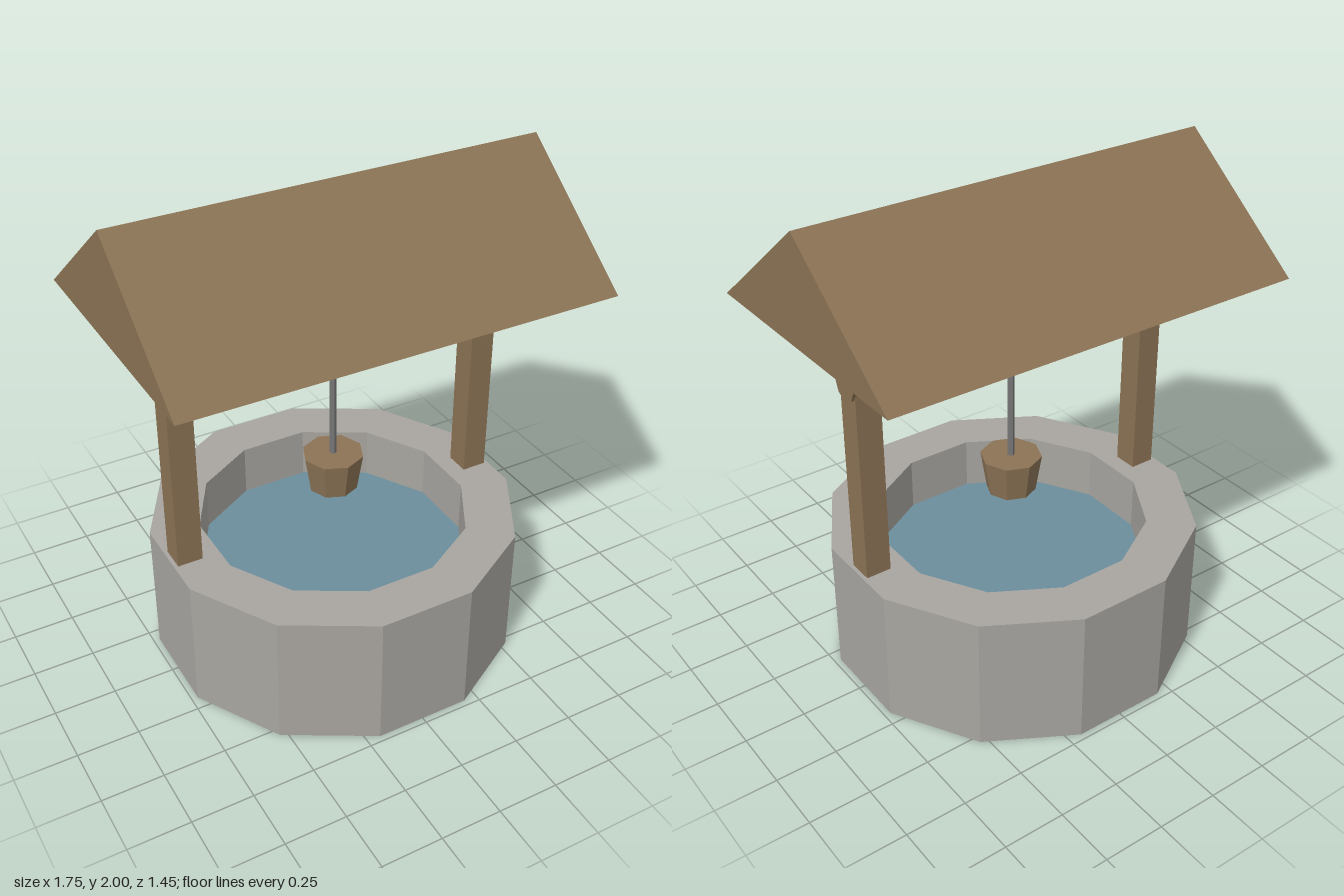
import * as THREE from 'three';

const mat = (name, color, extra = {}) =>
  Object.assign(new THREE.MeshStandardMaterial({ color, flatShading: true, ...extra }), { name });

// Regular polygon points, first corner turned by half a side
function ringPoints(radius, sides) {
  const pts = [];
  for (let i = 0; i < sides; i++) {
    const a = ((i + 0.5) / sides) * Math.PI * 2;
    pts.push(new THREE.Vector2(Math.cos(a) * radius, Math.sin(a) * radius));
  }
  return pts;
}

export function createModel() {
  const wood = mat('wood', 0x8b7355, { side: THREE.DoubleSide });
  const stone = mat('stone', 0xa8a5a0);
  const waterBlue = mat('water', 0x6b8e9b);
  const ropeGrey = mat('rope', 0x777777);

  const model = new THREE.Group();
  model.name = 'well';
  const add = (name, geometry, material, x = 0, y = 0, z = 0) => {
    const mesh = new THREE.Mesh(geometry, material);
    mesh.name = name;
    mesh.position.set(x, y, z);
    model.add(mesh);
    return mesh;
  };

  // Twelve-sided stone wall, open through the middle
  const wall = new THREE.Shape(ringPoints(0.75, 12));
  wall.holes.push(new THREE.Path(ringPoints(0.55, 12).reverse()));
  const wallGeo = new THREE.ExtrudeGeometry(wall, { depth: 0.565, bevelEnabled: false });
  wallGeo.rotateX(-Math.PI / 2);
  add('stoneWall', wallGeo, stone);

  // Water filling the shaft partway up
  const waterGeo = new THREE.CylinderGeometry(0.55, 0.55, 0.065, 12);
  waterGeo.rotateY(Math.PI / 12);
  add('water', waterGeo, waterBlue, 0, 0.315);

  // Posts standing on the wall
  for (const side of [-1, 1]) {
    add(side > 0 ? 'leftPost' : 'rightPost',
      new THREE.BoxGeometry(0.103, 1.125, 0.103), wood, side * 0.657, 1.1275);
  }

  // Crossbeam, rope and bucket
  const beamGeo = new THREE.CylinderGeometry(0.062, 0.062, 1.44, 8);
  beamGeo.rotateZ(Math.PI / 2);
  add('crossbeam', beamGeo, wood, 0, 1.38);
  add('rope', new THREE.CylinderGeometry(0.014, 0.014, 0.56, 6), ropeGrey, 0, 1.1);
  add('bucket', new THREE.CylinderGeometry(0.124, 0.1, 0.155, 8), wood, 0, 0.753);

  // Gabled roof shell: two slopes and two gable ends, open underneath
  const L = 0.875, W = 0.56, low = 1.565, top = 2;
  const corners = [
    -L, low, W, L, low, W, L, top, 0, -L, top, 0,
    -L, low, -W, L, low, -W,
  ];
  const roofGeo = new THREE.BufferGeometry();
  roofGeo.setAttribute('position', new THREE.Float32BufferAttribute(corners, 3));
  roofGeo.setIndex([0, 1, 2, 0, 2, 3, 5, 4, 3, 5, 3, 2, 1, 5, 2, 4, 0, 3]);
  const roofFlat = roofGeo.toNonIndexed();
  roofFlat.computeVertexNormals();
  add('roof', roofFlat, wood);

  return model;
}
